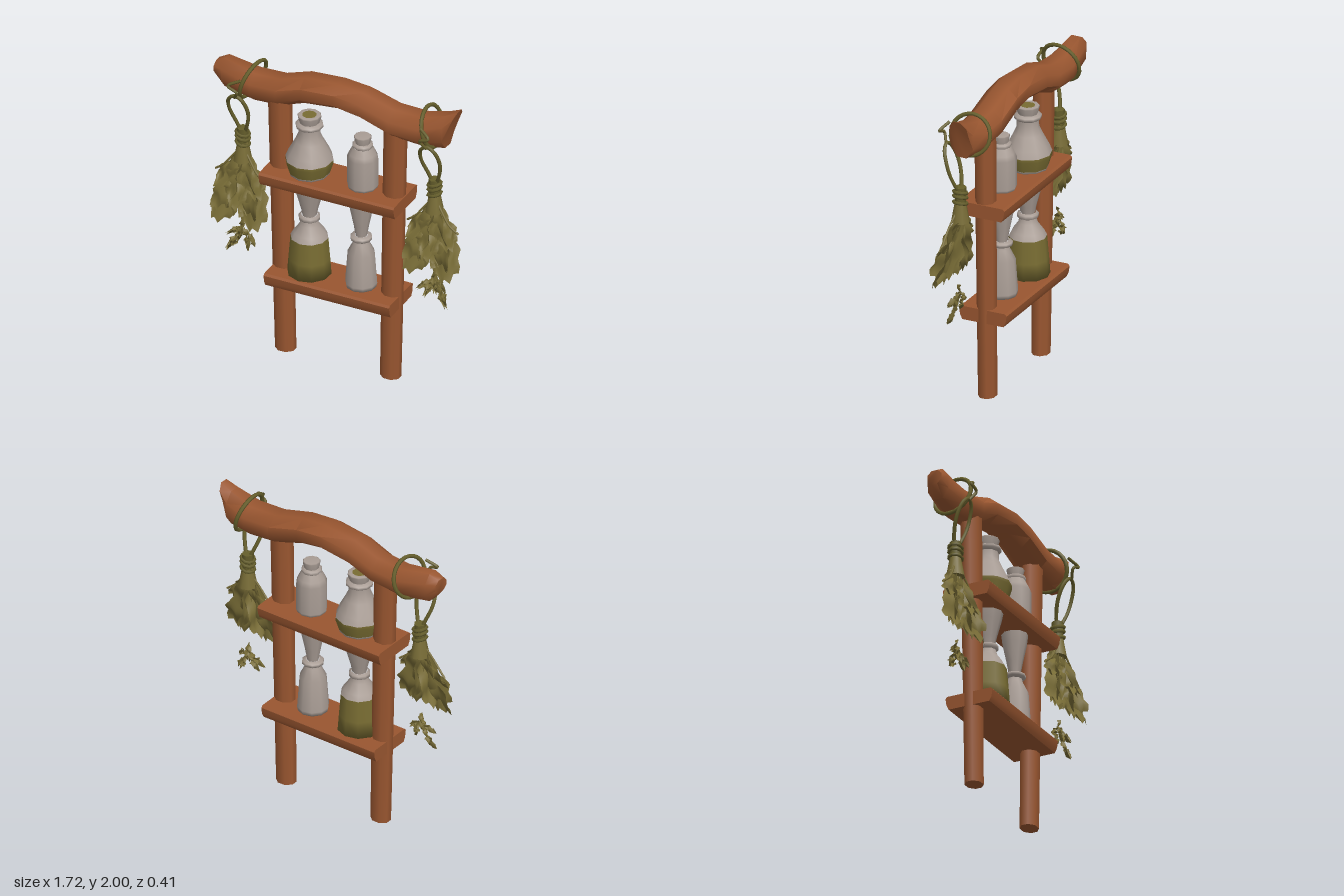
import * as THREE from 'three';
import { toCreasedNormals } from 'three/addons/utils/BufferGeometryUtils.js';

const V = (x, y, z) => new THREE.Vector3(x, y, z);
const mat = (name, color, side = THREE.FrontSide) => {
  const m = new THREE.MeshStandardMaterial({ color, side });
  m.name = name;
  return m;
};

// The whole rack is turned slightly, so depth drifts with x
const SLOPE = -0.065;
const rackZ = (x) => -0.01 + SLOPE * x;

export function createModel() {
  const wood = mat('wood', 0x995630);
  const glass = mat('paleGlass', 0xa99d95);
  const liquid = mat('oliveLiquid', 0x786c32);
  const leafMat = mat('driedLeaf', 0x786c36, THREE.DoubleSide);
  const cordMat = mat('cord', 0x665f2c, THREE.DoubleSide);

  const model = new THREE.Group();
  model.name = 'apothecaryRack';
  const add = (parent, name, geo, m, x = 0, y = 0, z = 0) => {
    const mesh = new THREE.Mesh(geo, m);
    mesh.name = name;
    mesh.position.set(x, y, z);
    parent.add(mesh);
    return mesh;
  };
  const tube = (parent, name, pts, r, m, closed = false) =>
    add(parent, name, new THREE.TubeGeometry(new THREE.CatmullRomCurve3(pts, closed), 24, r, 6, closed), m);

  // Wavy top beam: eight-sided sections [x, bottom, top, back, front]
  const sections = [
    [-0.85, 1.83, 1.92, -0.03, 0.07], [-0.79, 1.755, 1.95, -0.06, 0.085], [-0.58, 1.72, 1.91, -0.1, 0.1],
    [-0.4, 1.735, 1.92, -0.11, 0.1], [-0.23, 1.8, 1.98, -0.12, 0.095], [0, 1.83, 2, -0.13, 0.09],
    [0.17, 1.805, 1.985, -0.14, 0.08], [0.38, 1.735, 1.925, -0.155, 0.07], [0.57, 1.72, 1.92, -0.165, 0.05],
    [0.72, 1.735, 1.965, -0.15, 0.01], [0.8, 1.86, 2, -0.14, -0.02],
  ];
  const N = 8, pos = [], idx = [];
  sections.forEach(([x, y0, y1, z0, z1], i) => {
    for (let j = 0; j < N; j++) {
      const a = ((j + 0.5) / N) * Math.PI * 2, k = 0.5 / Math.cos(Math.PI / N);
      const end = i === sections.length - 1 ? -0.06 * (1 - Math.cos(a)) / 2 : 0;
      pos.push(x + end, (y0 + y1) / 2 + Math.cos(a) * (y1 - y0) * k, (z0 + z1) / 2 + Math.sin(a) * (z1 - z0) * k);
      if (i === sections.length - 1) continue;
      const p = i * N + j, q = i * N + (j + 1) % N;
      idx.push(p, q, p + N, q, q + N, p + N);
    }
  });
  const last = (sections.length - 1) * N;
  for (let j = 1; j < N - 1; j++) idx.push(0, j + 1, j, last, last + j, last + j + 1);
  const beam = new THREE.BufferGeometry();
  beam.setAttribute('position', new THREE.Float32BufferAttribute(pos, 3));
  beam.setIndex(idx);
  add(model, 'topBeam', toCreasedNormals(beam, 0.9), wood);

  // Two leaning posts
  for (const [name, x0, x1] of [['rightPost', -0.375, -0.415], ['leftPost', 0.34, 0.375]]) {
    const geo = new THREE.CylinderGeometry(0.076, 0.067, 1.84, 8, 1, false, Math.PI / 8);
    geo.scale(1, 1, 0.86);
    const post = add(model, name, geo, wood, (x0 + x1) / 2, 0.92, rackZ(x0));
    post.rotation.set(0, -SLOPE, (x0 - x1) / 1.84);
  }

  // Two shelves with sloped front and back edges
  for (const [name, x0, x1, y] of [['upperShelf', -0.48, 0.44, 1.215], ['lowerShelf', -0.445, 0.41, 0.505]]) {
    const s = new THREE.Shape([[-0.14, 0], [0.14, 0], [0.155, 0.03], [0.162, 0.075], [0.15, 0.088],
      [-0.15, 0.088], [-0.162, 0.075], [-0.155, 0.03]].map(([x, h]) => new THREE.Vector2(x, h)));
    const geo = new THREE.ExtrudeGeometry(s, { depth: x1 - x0, bevelEnabled: false });
    geo.translate(0, 0, (x0 - x1) / 2).rotateY(Math.PI / 2);
    const cx = (x0 + x1) / 2;
    add(model, name, toCreasedNormals(geo, 0.6), wood, cx, y, rackZ(cx)).rotation.y = -SLOPE;
  }

  // Bottles: profiles of [radius, height]; the first part may hold liquid
  const lathe = (p) => new THREE.LatheGeometry(p.map(([r, y]) => new THREE.Vector2(r, y)), 10);
  const bottle = (name, x, parts) => {
    const g = new THREE.Group();
    g.name = name;
    g.position.set(x, 0, rackZ(x) + 0.005);
    for (const [part, m, profile] of parts) add(g, part, lathe(profile), m);
    model.add(g);
  };
  bottle('roundBottle', -0.21, [
    ['base', glass, [[0, 1.3], [0.125, 1.3], [0.128, 1.315]]],
    ['liquid', liquid, [[0.128, 1.315], [0.15, 1.385], [0.15, 1.405]]],
    ['shoulder', glass, [[0.15, 1.405], [0.132, 1.45], [0.09, 1.53], [0.07, 1.575], [0.068, 1.62]]],
    ['lip', glass, [[0.068, 1.62], [0.086, 1.632], [0.086, 1.65], [0.06, 1.66]]],
    ['stopper', glass, [[0.058, 1.65], [0.075, 1.705], [0.07, 1.712], [0.045, 1.712]]],
    ['stopperTop', liquid, [[0.045, 1.712], [0, 1.713]]],
  ]);
  bottle('tallBottle', 0.152, [
    ['body', glass, [[0, 1.3], [0.09, 1.3], [0.097, 1.32], [0.097, 1.51], [0.085, 1.54], [0.062, 1.585]]],
    ['lip', glass, [[0.055, 1.58], [0.064, 1.588], [0.064, 1.606], [0.045, 1.612]]],
    ['stopper', glass, [[0.044, 1.605], [0.056, 1.655], [0.05, 1.66], [0, 1.66]]],
  ]);
  bottle('wideFlask', -0.21, [
    ['liquid', liquid, [[0, 0.593], [0.138, 0.593], [0.13, 0.7], [0.118, 0.845]]],
    ['shoulder', glass, [[0.118, 0.845], [0.1, 0.88], [0.06, 0.935], [0.052, 0.97]]],
    ['lip', glass, [[0.052, 0.965], [0.067, 0.973], [0.067, 0.995], [0.05, 1.003]]],
    ['flaredTop', glass, [[0.045, 1], [0.055, 1.05], [0.085, 1.16], [0.098, 1.225]]],
  ]);
  bottle('slimFlask', 0.142, [
    ['body', glass, [[0, 0.593], [0.095, 0.593], [0.1, 0.62], [0.085, 0.83], [0.05, 0.9], [0.045, 0.93]]],
    ['lip', glass, [[0.045, 0.915], [0.068, 0.925], [0.068, 0.945], [0.04, 0.952]]],
    ['flaredTop', glass, [[0.036, 0.95], [0.05, 1.03], [0.075, 1.15], [0.084, 1.225]]],
  ]);

  // Ruffled leaf hanging from its stem: half widths interpolated along the length
  const ruffle = [0.1, 0.2, 0.35, 0.55, 0.68, 0.58, 0.78, 1, 0.85, 0.95, 0.8];
  const leafGeo = (length, width, bend) => {
    const geo = new THREE.PlaneGeometry(2, 1, 6, 20), p = geo.attributes.position;
    for (let i = 0; i < p.count; i++) {
      const u = p.getX(i), t = 0.5 - p.getY(i), f = t * 10, k = Math.min(9, Math.floor(f));
      const w = width * THREE.MathUtils.lerp(ruffle[k], ruffle[k + 1], f - k);
      const scallop = t * t * (0.06 * u * u + 0.02 * Math.cos(u * 9));
      p.setXYZ(i, u * w, -t * length + scallop, bend * t * t - Math.abs(u) * w * 0.35 + 0.012 * Math.sin(t * 14 + u * 2));
    }
    geo.computeVertexNormals();
    return geo;
  };
  // [length, half width, bend, sideways tilt, turn, start height]
  const leaves = [
    [0.54, 0.105, 0.06, 0.24, 0.15, 1.38], [0.54, 0.105, 0.06, -0.24, -0.15, 1.38],
    [0.5, 0.095, -0.03, 0.23, 2.9, 1.37], [0.5, 0.095, -0.03, -0.23, -2.9, 1.37],
    [0.33, 0.075, 0.05, 0.42, 0.3, 1.36], [0.33, 0.075, 0.05, -0.42, -0.3, 1.36],
    [0.39, 0.08, 0.09, 0, 0, 1.37], [0.46, 0.07, 0.05, 0.06, 1.4, 1.37], [0.46, 0.07, 0.05, -0.06, -1.4, 1.37],
  ];

  // Hanging herb bundles, mirrored about the centre
  for (const s of [-1, 1]) {
    const g = new THREE.Group();
    g.name = s < 0 ? 'rightHerbBundle' : 'leftHerbBundle';
    const beamZ = -0.03 - 0.06 * 0.62 * s;
    g.position.set(s * 0.655, 0, beamZ + 0.045);
    model.add(g);

    for (const [len, w, bend, tilt, turn, y] of leaves) {
      const geo = leafGeo(len, w, bend);
      geo.rotateY(turn * s).rotateZ(tilt * s).rotateX(-0.09);
      add(g, 'leaf', geo, leafMat, 0, y, 0);
    }
    // Stems, binding and loose twigs
    add(g, 'stems', new THREE.CylinderGeometry(0.035, 0.06, 0.13, 8), leafMat, 0, 1.34, 0);
    add(g, 'binding', new THREE.CylinderGeometry(0.038, 0.034, 0.13, 7), cordMat, 0, 1.44, 0);
    for (const y of [1.4, 1.44, 1.47]) {
      const wrap = add(g, 'bindingWrap', new THREE.TorusGeometry(0.042, 0.011, 5, 10), cordMat, 0, y, 0);
      wrap.rotation.set(Math.PI / 2, 0.25 * s, 0);
    }
    for (const d of [-1, 1]) {
      tube(g, 'twig', [V(0, 1.38, 0), V(d * 0.06, 1.3, 0.02), V(d * 0.12, 1.22, 0.03), V(d * 0.18, 1.17, 0.02)], 0.007, leafMat);
    }
    // Cord loop and the ring around the beam
    tube(g, 'cordLoop', [V(0, 1.47, 0), V(0.05, 1.56, 0.03), V(0.068, 1.66, 0.055), V(0.045, 1.75, 0.085),
      V(0, 1.78, 0.095), V(-0.05, 1.74, 0.085), V(-0.066, 1.65, 0.05), V(-0.04, 1.55, 0.015)], 0.012, cordMat, true);
    const ring = [];
    for (let i = 0; i < 10; i++) {
      const a = (i / 10) * Math.PI * 2, c = Math.cos(a), d = Math.sin(a);
      ring.push(V(-s * (0.035 + 0.035 * c + 0.02 * (1 - d) / 2), 1.845 + 0.125 * c, -0.045 + 0.132 * d));
    }
    tube(g, 'beamRing', ring, 0.013, cordMat, true);
    tube(g, 'knot', [V(-s * 0.04, 1.9, 0.1), V(s * 0.03, 1.86, 0.13), V(-s * 0.03, 1.83, 0.13), V(0, 1.77, 0.1)], 0.01, cordMat);

    // Small sprig below the bundle: a few narrow leaflets
    for (const [x, y, len, w, tilt] of [[0, 0.85, 0.14, 0.035, 0.1], [0.02, 0.76, 0.15, 0.03, 0.48],
      [-0.01, 0.78, 0.12, 0.026, -0.45], [0.01, 0.8, 0.1, 0.022, 0.85], [-0.01, 0.79, 0.12, 0.022, -0.9]]) {
      add(g, 'sprigLeaf', leafGeo(len, w, 0.02).rotateY(0.3 * s).rotateZ(tilt * s), leafMat, x * s, y, 0.01);
    }
  }
  return model;
}
